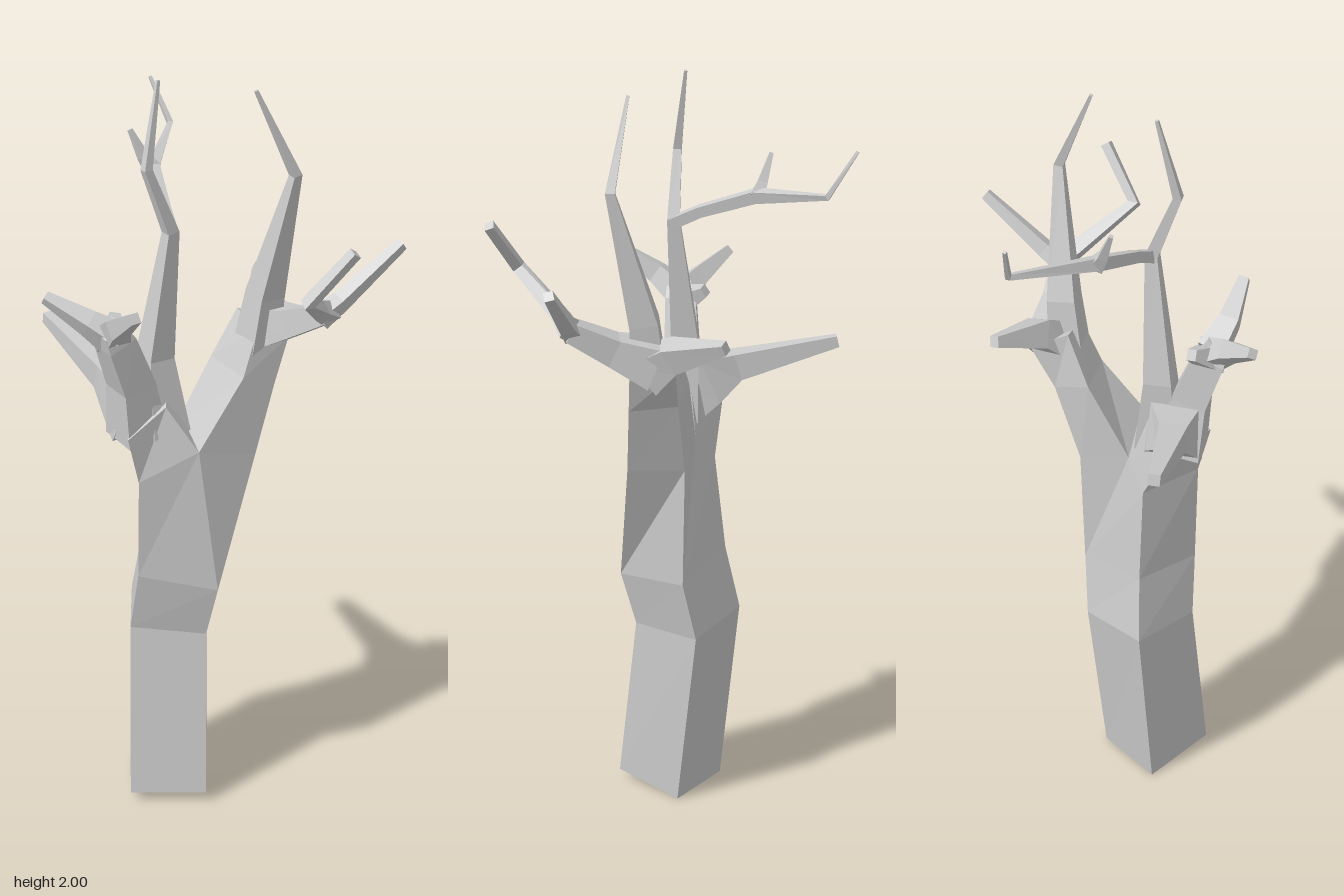
import * as THREE from 'three';

const material = new THREE.MeshStandardMaterial({ color: 0xcccccc, flatShading: true });

// Mesh from polygon faces whose corners run counter-clockwise seen from outside
function polyMesh(name, faces) {
  const pos = [];
  for (const f of faces)
    for (let i = 1; i < f.length - 1; i++) pos.push(...f[0], ...f[i], ...f[i + 1]);
  const geo = new THREE.BufferGeometry();
  geo.setAttribute('position', new THREE.Float32BufferAttribute(pos, 3));
  geo.computeVertexNormals();
  const mesh = new THREE.Mesh(geo, material);
  mesh.name = name;
  return mesh;
}

// Side quads joining two rings of equal length
function skin(a, b) {
  return a.map((p, i) => {
    const j = (i + 1) % a.length;
    return [p, a[j], b[j], b[i]];
  });
}

// Square-section limb through points [x, y, z, halfWidth]
function limb(name, pts) {
  const c = pts.map(p => new THREE.Vector3(p[0], p[1], p[2]));
  const u = new THREE.Vector3(1, 0, 0);
  const rings = c.map((p, i) => {
    const t = new THREE.Vector3();
    if (i > 0) t.add(p.clone().sub(c[i - 1]).normalize());
    if (i < c.length - 1) t.add(c[i + 1].clone().sub(p).normalize());
    t.normalize();
    u.addScaledVector(t, -u.dot(t)).normalize();
    const v = t.clone().cross(u);
    const r = pts[i][3];
    return [[-1, -1], [1, -1], [1, 1], [-1, 1]].map(([a, b]) =>
      p.clone().addScaledVector(u, a * r).addScaledVector(v, b * r).toArray());
  });
  const faces = [[...rings[0]].reverse(), rings[rings.length - 1]];
  for (let i = 1; i < rings.length; i++) faces.push(...skin(rings[i - 1], rings[i]));
  return polyMesh(name, faces);
}

// Four-cornered trunk that opens into two forks
function trunk() {
  const base = [[-0.28, 0.03, 0.035], [-0.11, 0.03, 0.15], [0, 0, -0.015], [-0.16, 0, -0.13]];
  const bend = [[-0.24, 0.52, -0.015], [-0.075, 0.5, 0.10], [0.04, 0.505, -0.065], [-0.13, 0.53, -0.18]];
  const waist = [[-0.235, 0.69, 0.02], [-0.065, 0.65, 0.14], [0.055, 0.67, -0.03], [-0.12, 0.71, -0.14]];
  const [A, B, C, D] = waist;
  // Fork corners: left side, front crotch, right front, right back, back crotch, back
  const A4 = [-0.235, 0.97, 0.03], F = [-0.1, 1.05, 0.105], G = [0.07, 1.0, 0.113];
  const C4 = [0.065, 1.0, -0.035], K = [-0.07, 1.04, -0.06], D4 = [-0.12, 0.97, -0.11];
  const leftTop = [[-0.265, 1.1, 0.03], [-0.16, 1.17, 0.045], [-0.1, 1.19, -0.045], [-0.19, 1.12, -0.13]];
  const rightMid = [[0.04, 1.22, 0.10], [0.135, 1.185, 0.105], [0.135, 1.2, -0.02], [0.04, 1.23, -0.045]];
  const rightTop = [[0.09, 1.34, 0.09], [0.18, 1.3, 0.1], [0.2, 1.31, -0.015], [0.1, 1.36, -0.015]];
  return polyMesh('trunk', [
    [...base].reverse(), ...skin(base, bend), ...skin(bend, waist),
    [A, B, F, A4], [B, G, F], [B, C, C4, G], [C, K, C4], [C, D, D4], [C, D4, K], [D, A, A4, D4],
    ...skin([A4, F, K, D4], leftTop), leftTop,
    ...skin([F, G, C4, K], rightMid), ...skin(rightMid, rightTop), rightTop,
  ]);
}

export function createModel() {
  const tree = new THREE.Group();
  tree.name = 'bareTree';
  tree.add(trunk());

  const limbs = {
    // Right fork
    rightTallBranch: [[0.11, 1.24, 0.05, 0.045], [0.13, 1.42, 0.065, 0.036], [0.16, 1.755, 0.145, 0.012], [0.067, 1.975, 0.105, 0.004]],
    rightBackBranch: [[0.145, 1.3, 0.05, 0.05], [0.18, 1.35, -0.01, 0.036], [0.255, 1.395, -0.14, 0.014]],
    rightFrontBranch: [[0.15, 1.32, 0.04, 0.055], [0.165, 1.36, 0.14, 0.036], [0.185, 1.415, 0.245, 0.026]],
    rightFrontOuterTwig: [[0.17, 1.405, 0.24, 0.024], [0.23, 1.44, 0.25, 0.019], [0.395, 1.565, 0.278, 0.012]],
    rightFrontInnerTwig: [[0.2, 1.41, 0.24, 0.024], [0.15, 1.44, 0.27, 0.019], [0.025, 1.53, 0.385, 0.014], [0.115, 1.66, 0.447, 0.012]],
    // Left fork
    leftTallBranch: [[-0.14, 1.08, -0.01, 0.055], [-0.143, 1.28, -0.03, 0.036], [-0.112, 1.62, 0, 0.016], [-0.175, 1.79, -0.008, 0.011], [-0.125, 2.0, -0.03, 0.004]],
    leftLongTwig: [[-0.112, 1.61, 0.005, 0.015], [-0.085, 1.65, -0.07, 0.014], [-0.028, 1.705, -0.21, 0.016], [0.14, 1.745, -0.382, 0.007], [0.125, 1.855, -0.453, 0.004]],
    leftUprightTwig: [[-0.025, 1.7, -0.21, 0.018], [-0.045, 1.735, -0.225, 0.012], [-0.07, 1.805, -0.247, 0.005]],
    leftOuterBranch: [[-0.2, 1.08, -0.03, 0.058], [-0.222, 1.23, -0.02, 0.046], [-0.27, 1.36, -0.015, 0.04], [-0.29, 1.4, -0.01, 0.03]],
    leftBackTwig: [[-0.265, 1.36, -0.01, 0.036], [-0.32, 1.405, -0.055, 0.025], [-0.394, 1.463, -0.14, 0.012]],
    leftFrontTwig: [[-0.27, 1.37, -0.02, 0.034], [-0.3, 1.425, 0.05, 0.025], [-0.315, 1.49, 0.15, 0.013]],
    leftStub: [[-0.275, 1.35, -0.01, 0.035], [-0.232, 1.395, -0.08, 0.014]],
    leftRearBranch: [[-0.185, 1.13, -0.02, 0.075], [-0.19, 1.17, -0.09, 0.062], [-0.205, 1.2, -0.165, 0.036], [-0.22, 1.265, -0.432, 0.015]],
  };
  for (const [name, pts] of Object.entries(limbs)) tree.add(limb(name, pts));
  return tree;
}
